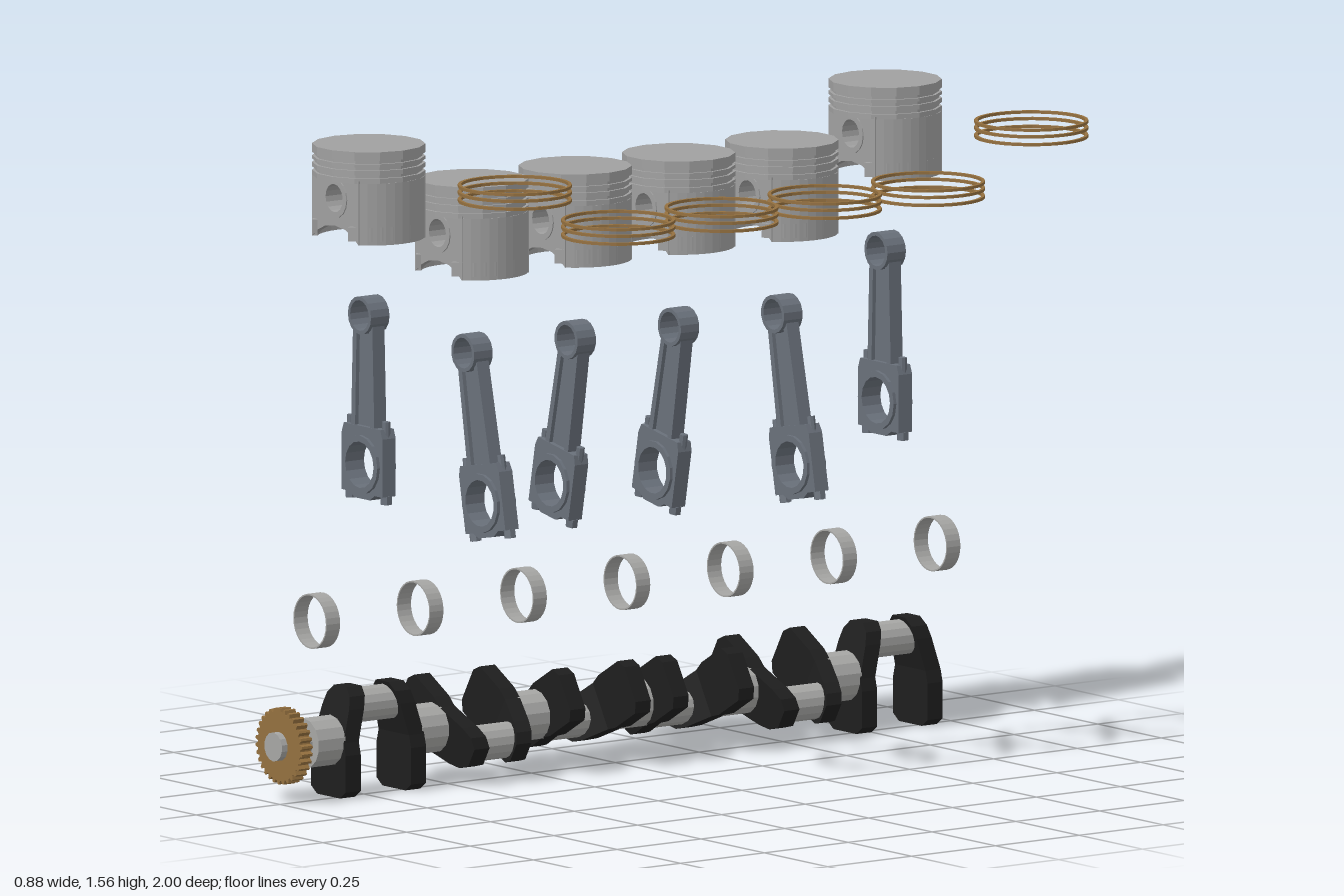
import * as THREE from 'three';

const mat = (name, color) => new THREE.MeshStandardMaterial({ name, color, flatShading: true, side: THREE.DoubleSide });
const V = (x, y) => new THREE.Vector2(x, y);

const AXIS_X = -0.277, AXIS_Y = 0.14, THROW = 0.077, PITCH = 0.308, SIDES = 14;

function shapeOf(points, holeX, holeY, holeR) {
  const s = new THREE.Shape(points.map(([x, y]) => V(x, y)));
  if (holeR) s.holes.push(new THREE.Path().absarc(holeX, holeY, holeR, 0, Math.PI * 2, true));
  return s;
}

// Flat part extruded along z and centred on z = 0
function slab(shape, depth, curveSegments = 8) {
  return new THREE.ExtrudeGeometry(shape, { depth, bevelEnabled: false, curveSegments }).translate(0, 0, -depth / 2);
}

function ringShape(outer, inner) {
  const s = new THREE.Shape().absarc(0, 0, outer, 0, Math.PI * 2);
  s.holes.push(new THREE.Path().absarc(0, 0, inner, 0, Math.PI * 2, true));
  return s;
}

// Upright curved wall centred on the +x direction
function curvedWall(outer, inner, half, height) {
  const s = new THREE.Shape().absarc(0, 0, outer, -half, half);
  s.absarc(0, 0, inner, half, -half, true);
  return new THREE.ExtrudeGeometry(s, { depth: height, bevelEnabled: false, curveSegments: 5 }).rotateX(-Math.PI / 2);
}

const barZ = (r, len, sides = SIDES) => new THREE.CylinderGeometry(r, r, len, sides).rotateX(Math.PI / 2);

function add(group, name, geometry, material, x = 0, y = 0, z = 0) {
  const m = new THREE.Mesh(geometry, material);
  m.name = name;
  m.position.set(x, y, z);
  group.add(m);
  return m;
}

export function createModel() {
  const alloy = mat('pistonAlloy', 0xa0a0a0);
  const steel = mat('rodSteel', 0x69707a);
  const black = mat('crankBlack', 0x1e1e1e);
  const polished = mat('journalSteel', 0xa6a6a4);
  const brass = mat('brass', 0x94703f);
  const root = new THREE.Group();
  root.name = 'engineInternals';

  // Piston, with its crown top at y = 0
  const R = 0.135, g = 0.128;
  const profile = [[0, 0], [R, 0]];
  for (const y of [-0.021, -0.037, -0.056]) profile.push([R, y], [g, y], [g, y - 0.008], [R, y - 0.008]);
  profile.push([R, -0.076], [0, -0.076]);
  const crownGeo = new THREE.LatheGeometry(profile.reverse().map(([x, y]) => V(x, y)), SIDES).rotateY(Math.PI / 2);
  const skirtGeo = curvedWall(0.134, 0.122, 0.83, 0.149).translate(0, -0.225, 0);
  const lipGeo = curvedWall(0.134, 0.122, 1.02, 0.034).translate(0, -0.216, 0);
  const sideGeo = slab(shapeOf([
    [-0.092, -0.07], [-0.092, -0.225], [-0.07, -0.208], [-0.04, -0.194], [0, -0.189],
    [0.04, -0.194], [0.07, -0.208], [0.092, -0.225], [0.092, -0.07]], 0, -0.122, 0.036), 0.016);
  const bossGeo = slab(ringShape(0.048, 0.034), 0.06);
  function makePiston() {
    const p = new THREE.Group();
    p.name = 'piston';
    add(p, 'crown', crownGeo, alloy);
    for (const s of [1, -1]) {
      for (const [n, geo] of [['skirt', skirtGeo], ['skirtLip', lipGeo]]) {
        add(p, n, geo, alloy).rotation.y = s > 0 ? 0 : Math.PI;
      }
      add(p, 'pinSide', sideGeo, alloy, 0, 0, s * 0.092);
      add(p, 'pinBoss', bossGeo, alloy, 0, -0.122, s * 0.073);
    }
    return p;
  }

  // Connecting rod, with the big end at the origin and the small end at y = L
  const L = 0.36;
  const smallEndGeo = slab(ringShape(0.046, 0.037), 0.055);
  const bigEndGeo = slab(shapeOf([
    [-0.08, -0.07], [-0.05, -0.07], [-0.03, -0.083], [0.03, -0.083], [0.05, -0.07], [0.08, -0.07],
    [0.08, 0.07], [0.072, 0.092], [-0.072, 0.092], [-0.08, 0.07]], 0, 0, 0.056), 0.04);
  const bigRingGeo = slab(ringShape(0.071, 0.056), 0.056);
  const webGeo = slab(shapeOf([[-0.044, 0.07], [0.044, 0.07], [0.036, L - 0.038], [-0.036, L - 0.038]]), 0.016);
  const flangeGeo = slab(shapeOf([[0.03, 0.085], [0.046, 0.085], [0.038, L - 0.022], [0.024, L - 0.034]]), 0.036);
  const boltGeo = new THREE.CylinderGeometry(0.01, 0.01, 0.2, 8);
  const boltHeadGeo = new THREE.CylinderGeometry(0.015, 0.015, 0.02, 6);
  function makeRod() {
    const r = new THREE.Group();
    r.name = 'connectingRod';
    add(r, 'smallEnd', smallEndGeo, steel, 0, L, 0);
    add(r, 'bigEnd', bigEndGeo, steel);
    add(r, 'bigEndRing', bigRingGeo, steel);
    add(r, 'beamWeb', webGeo, steel);
    for (const s of [1, -1]) {
      add(r, 'beamFlange', flangeGeo, steel).rotation.y = s > 0 ? 0 : Math.PI;
      add(r, 'bolt', boltGeo, steel, s * 0.069, 0.01, 0);
      add(r, 'boltHead', boltHeadGeo, steel, s * 0.069, -0.079, 0);
    }
    return r;
  }

  // Crank cheek: counterweight below, pin arm above leaning inwards
  const cheekGeo = slab(shapeOf([
    [-0.045, -0.135], [0.045, -0.135], [0.068, -0.118], [0.068, -0.03], [0.06, 0], [0.053, 0.077],
    [0.045, 0.107], [0.025, 0.127], [-0.025, 0.127], [-0.045, 0.107], [-0.053, 0.077],
    [-0.06, 0], [-0.068, -0.03], [-0.068, -0.118]]), 0.045).translate(0, 0, 0.0975);
  const pos = cheekGeo.attributes.position;
  for (let i = 0; i < pos.count; i++) {
    const lean = Math.max(0, Math.min(1, pos.getY(i) / 0.127));
    pos.setZ(i, pos.getZ(i) - 0.035 * lean);
  }
  cheekGeo.computeVertexNormals();
  const pinGeo = barZ(0.043, 0.17);

  const crank = new THREE.Group();
  crank.name = 'crankshaft';
  crank.position.set(AXIS_X, AXIS_Y, 0);
  root.add(crank);

  const ringGeo = slab(ringShape(0.136, 0.128), 0.007, SIDES).rotateX(Math.PI / 2);
  const angles = [0, -120, 120, 120, -120, 0];
  angles.forEach((deg, i) => {
    const z = 0.715 - PITCH * i, a = deg * Math.PI / 180;
    const px = -Math.sin(a) * THROW, drop = (1 - Math.cos(a)) * THROW;

    // One crank throw
    const t = new THREE.Group();
    t.name = 'crankThrow';
    t.position.z = z;
    t.rotation.z = a;
    add(t, 'crankPin', pinGeo, polished, 0, THROW, 0);
    add(t, 'frontCheek', cheekGeo, black);
    add(t, 'rearCheek', cheekGeo, black).rotation.y = Math.PI;
    crank.add(t);
    add(crank, 'mainJournal', barZ(0.061, 0.08), polished, 0, 0, z + PITCH / 2);

    // Rod leaning from its crank pin to the cylinder centreline
    const rod = makeRod();
    rod.position.set(AXIS_X + px, 0.795 - drop, z);
    rod.rotation.z = Math.asin(px / L);
    root.add(rod);

    // Piston and its set of three rings
    const top = 1.568 - drop;
    const piston = makePiston();
    piston.position.set(AXIS_X, top, z);
    root.add(piston);
    for (const dy of [0.025, 0.041, 0.06]) add(root, 'pistonRing', ringGeo, brass, 0.3, top - dy, z);
  });

  // Crank nose and toothed timing gear
  add(crank, 'crankNose', barZ(0.035, 0.13), polished, 0, 0, 0.935);
  const teeth = [], N = 30;
  for (let i = 0; i < N; i++) {
    [[0, 0.083], [0.25, 0.092], [0.55, 0.092], [0.8, 0.083]].forEach(([f, r]) => {
      const a = (i + f) / N * Math.PI * 2;
      teeth.push([Math.cos(a) * r, Math.sin(a) * r]);
    });
  }
  add(crank, 'timingGear', slab(shapeOf(teeth, 0, 0, 0.034), 0.032), brass, 0, 0, 0.967);

  // Main bearing shells
  const bearingGeo = slab(ringShape(0.066, 0.0625), 0.04, SIDES);
  for (let i = 0; i < 7; i++) add(root, 'mainBearing', bearingGeo, polished, AXIS_X, 0.432, 0.87 - 0.3083 * i);

  return root;
}
